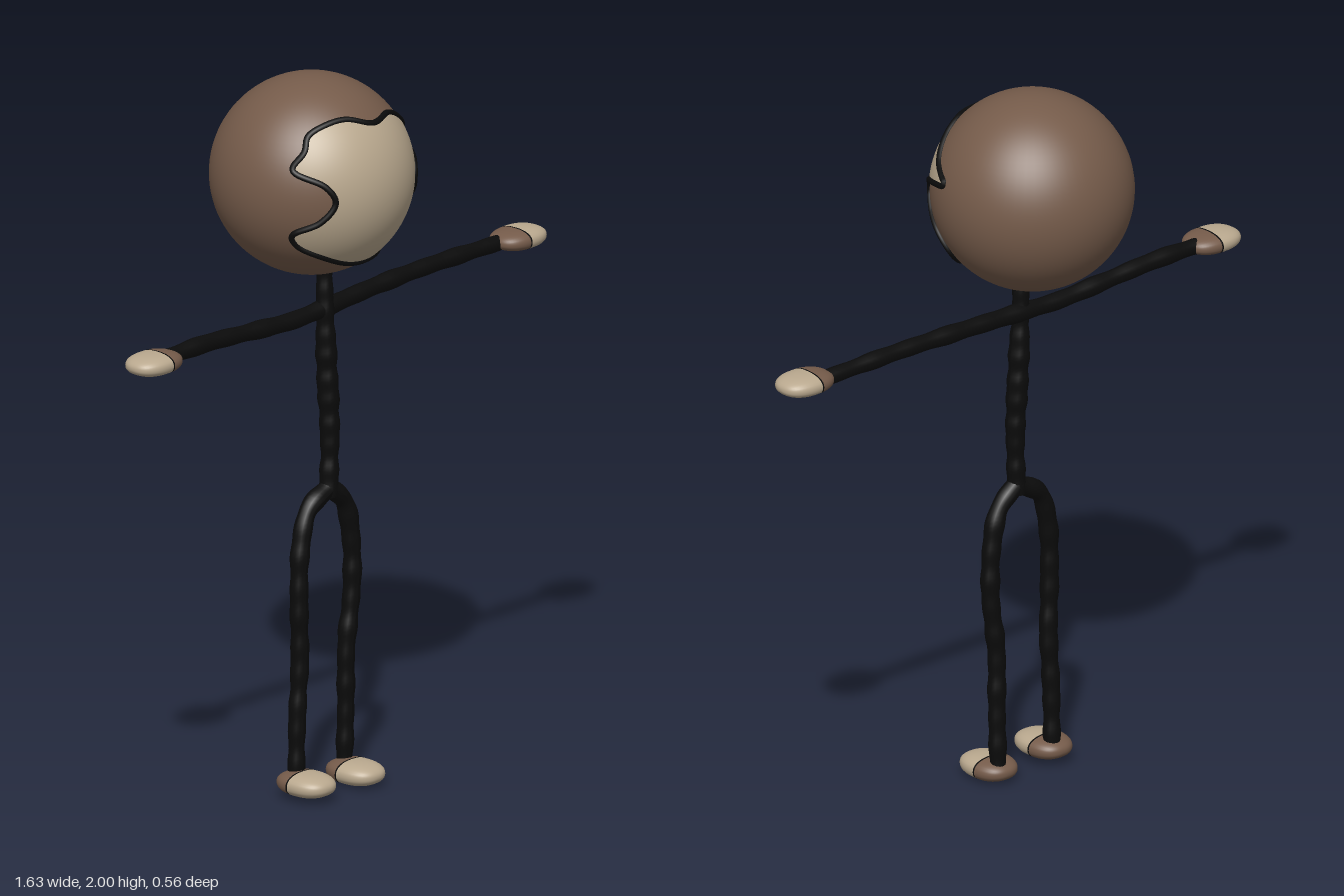
import * as THREE from 'three';
import { mergeVertices } from 'three/addons/utils/BufferGeometryUtils.js';

const brown = new THREE.MeshStandardMaterial({ color: 0x755b4a });
brown.name = 'brown fur';
const tan = new THREE.MeshStandardMaterial({ color: 0xb9a88e });
tan.name = 'light tan';
const black = new THREE.MeshStandardMaterial({ color: 0x0b0b0b });
black.name = 'black';

const HEAD = new THREE.Vector3(-0.045, 1.724, 0);
const R = 0.276;

function addMesh(parent, name, geometry, material) {
  const mesh = new THREE.Mesh(geometry, material);
  mesh.name = name;
  parent.add(mesh);
  return mesh;
}

// Wobbly tube through points, with a radius that varies along its length
function limb(points, radii, seed) {
  const curve = new THREE.CatmullRomCurve3(points.map((p) => new THREE.Vector3(...p)));
  const rings = 72, sides = 14;
  const geo = new THREE.TubeGeometry(curve, rings, 1, sides);
  const pos = geo.attributes.position;
  const v = new THREE.Vector3();
  for (let i = 0; i <= rings; i++) {
    const c = curve.getPointAt(i / rings);
    const f = (i / rings) * (radii.length - 1);
    const k = Math.min(Math.floor(f), radii.length - 2);
    const r = THREE.MathUtils.lerp(radii[k], radii[k + 1], f - k);
    const wobble = 1 + 0.05 * Math.sin(i * 0.9 + seed) + 0.04 * Math.sin(i * 0.47 + seed * 2);
    for (let j = 0; j <= sides; j++) {
      const n = i * (sides + 1) + j;
      v.fromBufferAttribute(pos, n).sub(c).multiplyScalar(r * wobble).add(c);
      pos.setXYZ(n, v.x, v.y, v.z);
    }
  }
  geo.computeVertexNormals();
  return geo;
}

// Slice of a squarish ellipsoid whose tip points along +z
function padSlice(half, from, to, grow = 1) {
  const geo = new THREE.SphereGeometry(1, 32, 14, 0, Math.PI * 2, from, to - from);
  geo.rotateX(Math.PI / 2);
  const pos = geo.attributes.position;
  const soften = (a) => Math.sign(a) * Math.pow(Math.abs(a), 0.85);
  for (let i = 0; i < pos.count; i++) {
    pos.setXYZ(i,
      soften(pos.getX(i)) * half[0] * grow,
      soften(pos.getY(i)) * half[1] * grow,
      soften(pos.getZ(i)) * half[2] * grow);
  }
  geo.deleteAttribute('uv');
  geo.deleteAttribute('normal');
  const merged = mergeVertices(geo, 1e-5);
  merged.computeVertexNormals();
  return merged;
}

// Hand or foot: light tip, brown back, thin dark seam
function pad(name, center, half, turn, split) {
  const group = new THREE.Group();
  group.name = name;
  addMesh(group, name + 'Tip', padSlice(half, 0, split), tan);
  addMesh(group, name + 'Back', padSlice(half, split, Math.PI), brown);
  addMesh(group, name + 'Seam', padSlice(half, split - 0.025, split + 0.025, 1.015), black);
  group.position.set(...center);
  group.rotation.y = turn;
  return group;
}

// Face outline as seen from the front, relative to the head centre
const faceOutline = [
  [-0.188, 0.135], [-0.165, 0.170], [-0.118, 0.193], [-0.060, 0.201], [0.015, 0.180],
  [0.105, 0.182], [0.170, 0.150], [0.222, 0.108], [0.262, 0.064], [0.238, 0.044],
  [0.196, 0.020], [0.184, -0.015], [0.200, -0.055], [0.226, -0.100], [0.212, -0.155],
  [0.155, -0.200], [0.060, -0.214], [-0.040, -0.206], [-0.128, -0.174], [-0.204, -0.128],
  [-0.220, -0.092], [-0.180, -0.055], [-0.152, 0.000], [-0.172, 0.045], [-0.222, 0.085],
];

function faceEdge(count) {
  const curve = new THREE.CatmullRomCurve3(
    faceOutline.map(([x, y]) => new THREE.Vector3(x, y, 0)), true);
  return curve.getSpacedPoints(count).slice(0, count).map((p) => {
    const rho = Math.min(Math.hypot(p.x, p.y) / R, 0.99);
    return { azimuth: Math.atan2(p.y, p.x), polar: Math.asin(rho) };
  });
}

function onSphere(azimuth, polar, r) {
  return new THREE.Vector3(
    Math.sin(polar) * Math.cos(azimuth),
    Math.sin(polar) * Math.sin(azimuth),
    Math.cos(polar)).multiplyScalar(r);
}

// Thin curved plate lying on the head, filled in rings out to the outline
function facePatch() {
  const edge = faceEdge(160), rings = 20, n = edge.length;
  const positions = [], normals = [], index = [];
  for (let k = 0; k <= rings; k++) {
    for (const e of edge) {
      const p = onSphere(e.azimuth, e.polar * k / rings, R + 0.003);
      positions.push(p.x, p.y, p.z);
      p.normalize();
      normals.push(p.x, p.y, p.z);
    }
  }
  for (let k = 0; k < rings; k++) {
    for (let i = 0; i < n; i++) {
      const a = k * n + i, b = k * n + (i + 1) % n;
      // the outline runs clockwise seen from the front
      index.push(a, b, a + n, b, b + n, a + n);
    }
  }
  const geo = new THREE.BufferGeometry();
  geo.setAttribute('position', new THREE.Float32BufferAttribute(positions, 3));
  geo.setAttribute('normal', new THREE.Float32BufferAttribute(normals, 3));
  geo.setIndex(index);
  return geo;
}

export function createModel() {
  const model = new THREE.Group();
  model.name = 'stickFigure';

  // Head with face plate and dark border
  const head = new THREE.Group();
  head.name = 'head';
  head.position.copy(HEAD);
  model.add(head);
  addMesh(head, 'skull', new THREE.SphereGeometry(R, 64, 48), brown);
  addMesh(head, 'face', facePatch(), tan);
  const border = new THREE.CatmullRomCurve3(
    faceEdge(160).map((e) => onSphere(e.azimuth, e.polar, R + 0.001)), true);
  addMesh(head, 'faceBorder', new THREE.TubeGeometry(border, 320, 0.009, 8, true), black);

  // Body and limbs
  addMesh(model, 'spine', limb([
    [-0.048, 1.48, 0.05], [-0.048, 1.35, 0.052], [-0.04, 1.18, 0.052],
    [-0.032, 1.0, 0.055], [-0.037, 0.82, 0.055],
  ], [0.022, 0.024, 0.029, 0.029, 0.025, 0.026], 1), black);
  addMesh(model, 'arms', limb([
    [-0.69, 1.363, 0.057], [-0.52, 1.364, 0.053], [-0.31, 1.352, 0.05], [-0.17, 1.345, 0.048],
    [-0.048, 1.35, 0.045], [0.17, 1.36, 0.035], [0.38, 1.365, 0.03], [0.68, 1.362, 0.025],
  ], [0.023, 0.024, 0.024, 0.025, 0.024, 0.023, 0.022], 2), black);
  addMesh(model, 'rightLeg', limb([
    [-0.035, 0.845, 0.055], [-0.115, 0.80, 0.055], [-0.148, 0.70, 0.056], [-0.154, 0.54, 0.056],
    [-0.147, 0.38, 0.052], [-0.153, 0.22, 0.048], [-0.153, 0.05, 0.045],
  ], [0.026, 0.026, 0.025, 0.025, 0.024, 0.023], 3), black);
  addMesh(model, 'leftLeg', limb([
    [-0.04, 0.85, 0.055], [0.025, 0.79, 0.055], [0.052, 0.68, 0.055], [0.057, 0.54, 0.053],
    [0.040, 0.38, 0.049], [0.042, 0.22, 0.045], [0.042, 0.05, 0.04],
  ], [0.026, 0.026, 0.025, 0.025, 0.024, 0.023], 4), black);

  // Hands and feet
  const hand = [0.063, 0.029, 0.084];
  const foot = [0.065, 0.032, 0.085];
  model.add(pad('rightHand', [-0.734, 1.363, 0.063], hand, -Math.PI / 2, 1.68));
  model.add(pad('leftHand', [0.732, 1.365, 0.035], hand, Math.PI / 2, 1.68));
  model.add(pad('rightFoot', [-0.16, 0.044, 0.088], foot, 0, 1.68));
  model.add(pad('leftFoot', [0.034, 0.033, 0.088], foot, 0, 1.68));
  return model;
}
